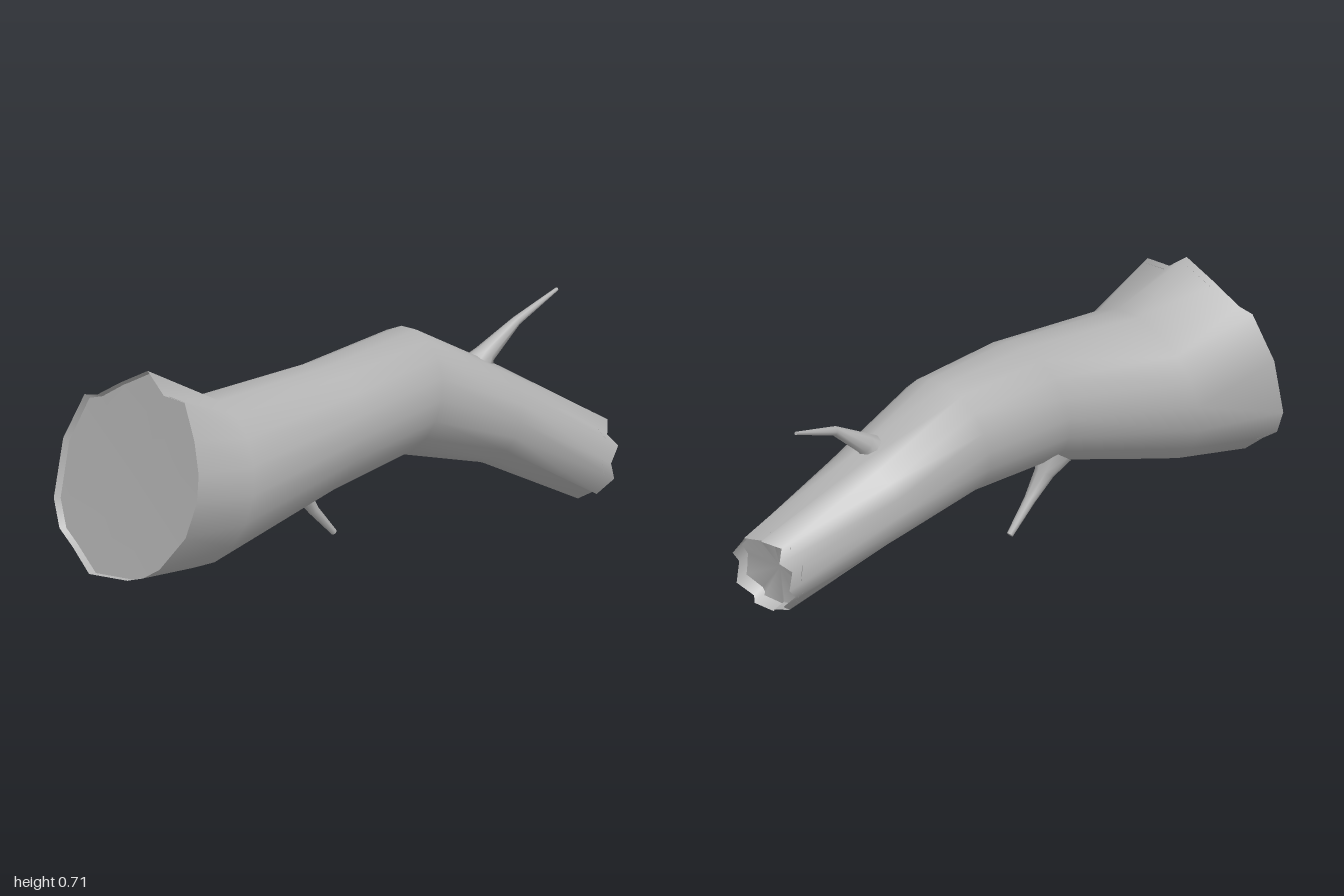
import * as THREE from 'three';

const SIDES = 18;
const wood = new THREE.MeshStandardMaterial({ color: 0xb2b2b2, side: THREE.DoubleSide });
wood.name = 'plain grey wood';

// Smooth skin through equal rings of points
function loft(rings, name) {
  const n = rings[0].length, index = [];
  for (let i = 0; i < rings.length - 1; i++) {
    for (let j = 0; j < n; j++) {
      const k = (j + 1) % n, a = i * n, b = a + n;
      index.push(a + j, b + j, a + k, b + j, b + k, a + k);
    }
  }
  return makeMesh(rings.flat(), index, name);
}

// Fan that closes a ring, facing -x or, when flipped, +x
function cap(ring, push, flip, name) {
  const n = ring.length, index = [];
  const centre = ring.reduce((s, p) => s.add(p), new THREE.Vector3()).divideScalar(n);
  centre.x += push;
  for (let j = 0; j < n; j++) {
    const k = (j + 1) % n;
    index.push(n, flip ? k : j, flip ? j : k);
  }
  return makeMesh([...ring, centre], index, name);
}

function makeMesh(points, index, name) {
  const g = new THREE.BufferGeometry().setFromPoints(points);
  g.setIndex(index);
  g.computeVertexNormals();
  const mesh = new THREE.Mesh(g, wood);
  mesh.name = name;
  return mesh;
}

// Tilted oval ring given by its top, bottom and z range
function ovalRing([topX, topY, lowX, lowY, zMin, zMax]) {
  return Array.from({ length: SIDES }, (_, j) => {
    const a = (j / SIDES) * Math.PI * 2, t = (1 + Math.sin(a)) / 2;
    return new THREE.Vector3(
      lowX + (topX - lowX) * t,
      lowY + (topY - lowY) * t,
      (zMin + zMax) / 2 + ((zMax - zMin) / 2) * Math.cos(a));
  });
}

// Tapered twig along points of [x, y, z, radius]
function twig(path, name) {
  const group = new THREE.Group();
  group.name = name;
  const pts = path.map(p => new THREE.Vector3(p[0], p[1], p[2]));
  const zAxis = new THREE.Vector3(0, 0, 1);
  const rings = pts.map((c, i) => {
    const dir = pts[Math.min(i + 1, pts.length - 1)].clone().sub(pts[Math.max(i - 1, 0)]);
    const v = zAxis.clone().cross(dir).normalize();
    return Array.from({ length: 8 }, (_, j) => {
      const a = (j / 8) * Math.PI * 2;
      return c.clone().addScaledVector(zAxis, path[i][3] * Math.cos(a))
        .addScaledVector(v, path[i][3] * Math.sin(a));
    });
  });
  group.add(loft(rings, name + 'Bark'), cap(rings[rings.length - 1], 0, true, name + 'Tip'));
  return group;
}

export function createModel() {
  const model = new THREE.Group();
  model.name = 'brokenLog';

  // Broken rims as [z, y], starting at the front and going over the top
  const wideRim = [
    [0.33, 0.34], [0.32, 0.43], [0.28, 0.53], [0.21, 0.645], [0.11, 0.65], [0.02, 0.715],
    [-0.1, 0.655], [-0.195, 0.6], [-0.255, 0.59], [-0.325, 0.435], [-0.33, 0.24], [-0.285, 0.15],
    [-0.21, 0.1], [-0.12, 0.03], [0.06, 0.04], [0.13, 0.06], [0.2, 0.1], [0.3, 0.22],
  ].map(([z, y]) => new THREE.Vector3(-1.005 + 0.19 * y, y, z));
  const narrowRim = [
    [0.295, 0.14], [0.28, 0.19], [0.265, 0.23], [0.22, 0.265], [0.18, 0.255], [0.14, 0.278],
    [0.09, 0.255], [0.065, 0.22], [0.05, 0.18], [0.03, 0.13], [0.045, 0.09], [0.065, 0.06],
    [0.08, 0.03], [0.11, 0.035], [0.155, 0], [0.2, 0.03], [0.24, 0.03], [0.275, 0.08],
  ].map(([z, y], j) => new THREE.Vector3((j % 2 ? 0.965 : 0.925) + 0.12 * y, y, z));

  // Trunk: top x, top y, bottom x, bottom y, z min, z max
  const sections = [
    [-0.62, 0.59, -0.73, 0.04, -0.22, 0.315],
    [-0.13, 0.63, -0.2, 0.2, -0.13, 0.29],
    [0.3, 0.66, 0.22, 0.25, -0.18, 0.215],
    [0.64, 0.485, 0.56, 0.17, -0.12, 0.23],
  ].map(ovalRing);
  model.add(loft([wideRim, ...sections, narrowRim], 'trunk'));

  // End faces set slightly inside the ragged rims
  const inset = (rim, next, t) => rim.map((p, j) => p.clone().lerp(next[j], t));
  model.add(cap(inset(wideRim, sections[0], 0.08), 0.01, false, 'wideEndFace'));
  model.add(cap(inset(narrowRim, sections[3], 0.1), -0.02, true, 'narrowEndFace'));

  // Twigs
  model.add(twig([
    [0.55, 0.47, 0.055, 0.065], [0.6, 0.525, 0.06, 0.035],
    [0.735, 0.613, 0.065, 0.016], [0.94, 0.68, 0.04, 0.006]], 'upperTwig'));
  model.add(twig([
    [-0.2, 0.25, -0.02, 0.065], [-0.16, 0.19, -0.02, 0.033],
    [-0.1, 0.11, -0.012, 0.019], [-0.005, 0.018, -0.015, 0.011]], 'lowerTwig'));

  return model;
}
